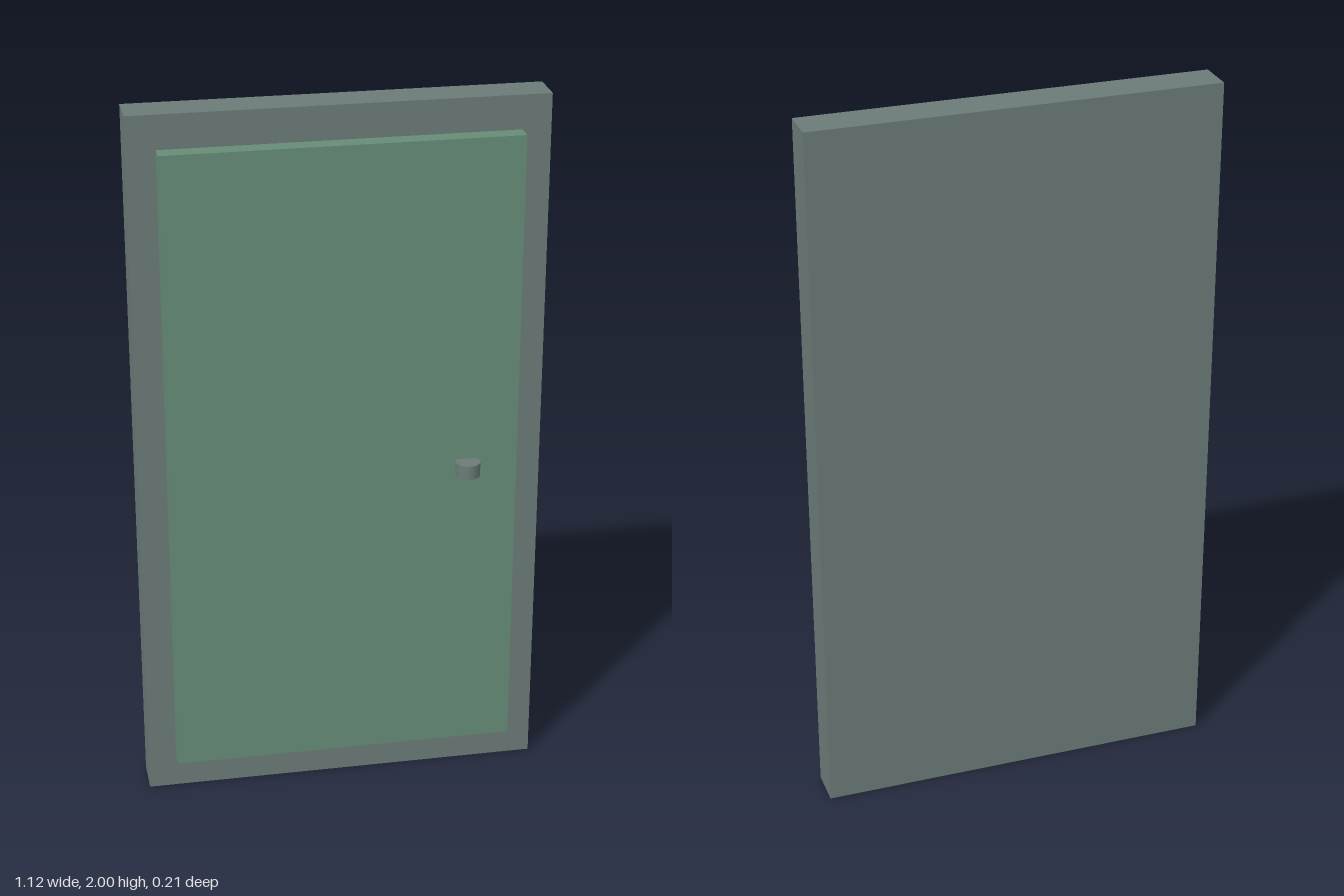
import * as THREE from 'three';

export function createModel() {
  const group = new THREE.Group();
  const grey = new THREE.MeshStandardMaterial({ color: 0x6b7b77 });
  grey.name = 'slate grey';
  const green = new THREE.MeshStandardMaterial({ color: 0x678c78 });
  green.name = 'muted green';

  const add = (name, geometry, material, x, y, z) => {
    const mesh = new THREE.Mesh(geometry, material);
    mesh.name = name;
    mesh.position.set(x, y, z);
    group.add(mesh);
  };

  // Solid backing slab that shows as the frame
  add('frame', new THREE.BoxGeometry(1.12, 2, 0.108), grey, 0, 1, -0.054);
  // Raised door leaf
  add('doorPanel', new THREE.BoxGeometry(0.964, 1.806, 0.05), green, 0, 1.003, 0.025);
  // Short upright cylinder as the knob, set slightly into the leaf
  add('knob', new THREE.CylinderGeometry(0.034, 0.034, 0.04, 24), grey, 0.34, 0.97, 0.07);

  return group;
}
